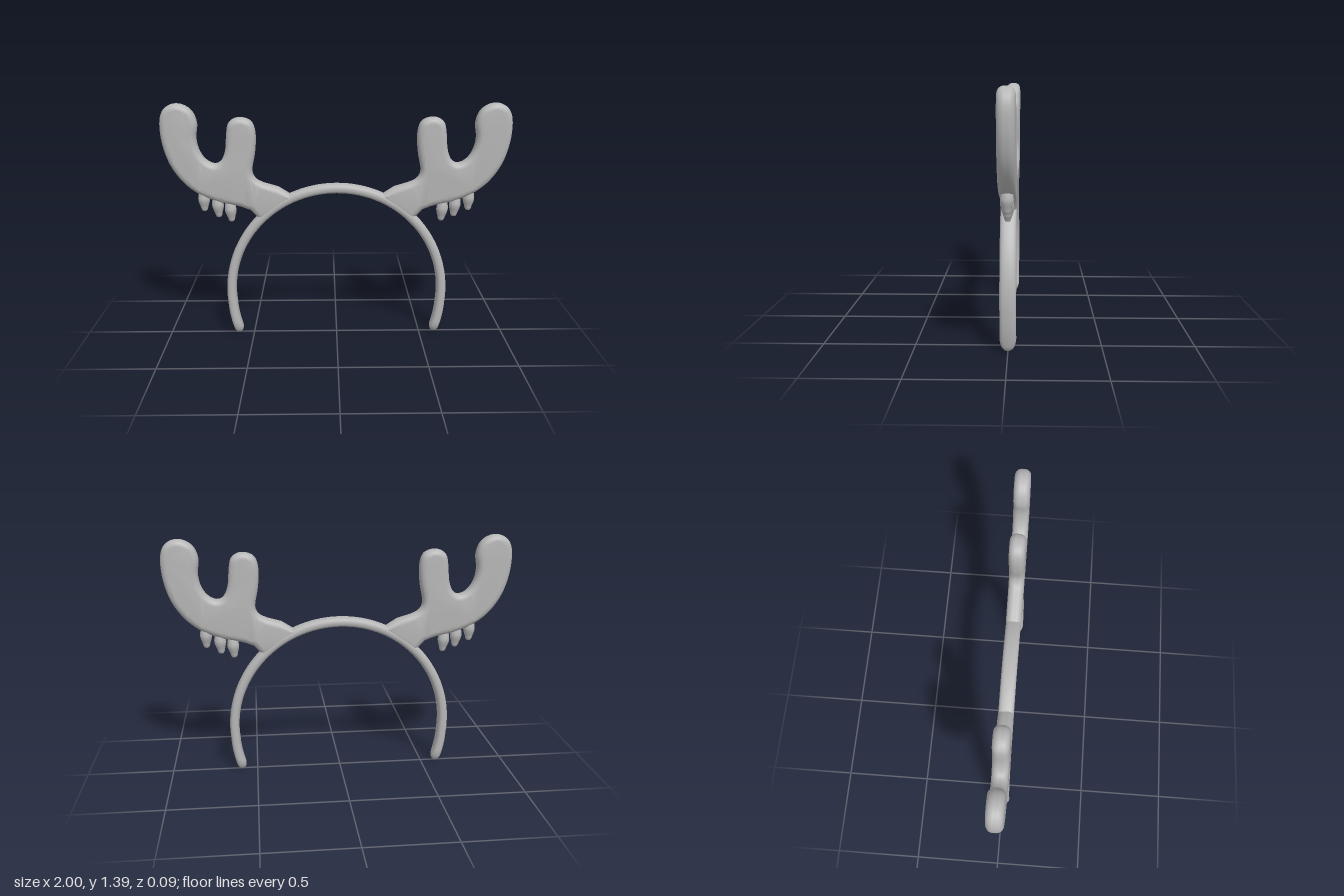
import * as THREE from 'three';
import { toCreasedNormals } from 'three/addons/utils/BufferGeometryUtils.js';

const grey = new THREE.MeshStandardMaterial({ color: 0xb6b6b6 });
grey.name = 'light grey';

function part(name, geometry) {
  const mesh = new THREE.Mesh(geometry, grey);
  mesh.name = name;
  return mesh;
}

// Arc-shaped band: a soft rectangular section swept round, closing at rounded tips
function bandGeometry() {
  const R = 0.627, CY = 0.265, A0 = -0.431, A1 = Math.PI + 0.431;
  const rings = 120, sides = 20, pos = [], idx = [];
  const soft = (v) => Math.sign(v) * Math.abs(v) ** 0.75;
  const round = (d, r) => Math.sqrt(Math.max(0, 1 - (1 - Math.min(d / r, 1)) ** 2));
  for (let i = 0; i <= rings; i++) {
    const a = A0 + (A1 - A0) * (0.5 - 0.5 * Math.cos(Math.PI * i / rings));
    const d = Math.min(a - A0, A1 - a) * R;
    const hr = 0.028 * round(d, 0.04), hz = 0.044 * round(d, 0.075);
    const flare = 0.012 * Math.max(0, 1 - d / 0.2);
    for (let j = 0; j < sides; j++) {
      const b = j / sides * Math.PI * 2;
      const r = R + flare + hr * soft(Math.cos(b));
      pos.push(r * Math.cos(a), CY + r * Math.sin(a), hz * soft(Math.sin(b)));
      if (i === rings) continue;
      const p = i * sides + j, q = i * sides + (j + 1) % sides;
      idx.push(p, p + sides, q, q, p + sides, q + sides);
    }
  }
  const g = new THREE.BufferGeometry();
  g.setAttribute('position', new THREE.Float32BufferAttribute(pos, 3));
  g.setIndex(idx);
  g.computeVertexNormals();
  return g;
}

// Two-tined antler plate with fully rounded edges
function antlerGeometry() {
  const outline = [
    [0.42, 0.925], [0.465, 0.95], [0.485, 1.0], [0.467, 1.1], [0.46, 1.2], [0.475, 1.27],
    [0.515, 1.3], [0.57, 1.303], [0.612, 1.275], [0.626, 1.22], [0.636, 1.12], [0.66, 1.06],
    [0.7, 1.04], [0.75, 1.065], [0.785, 1.12], [0.798, 1.19], [0.79, 1.27], [0.815, 1.34],
    [0.87, 1.378], [0.93, 1.38], [0.98, 1.345], [1.0, 1.27], [0.99, 1.15], [0.95, 1.03],
    [0.88, 0.93], [0.79, 0.86], [0.68, 0.815], [0.57, 0.79], [0.5, 0.765],
  ].map(([x, y]) => new THREE.Vector2(x, y));
  const s = new THREE.Shape();
  s.moveTo(0.25, 0.845);
  s.lineTo(0.335, 0.9);
  s.lineTo(outline[0].x, outline[0].y);
  s.splineThru(outline.slice(1));
  s.lineTo(0.44, 0.7);
  s.closePath();
  const depth = 0.018, bevel = 0.036;
  const g = new THREE.ExtrudeGeometry(s, {
    depth, curveSegments: 4, bevelEnabled: true, bevelSegments: 6,
    bevelSize: bevel, bevelOffset: -bevel, bevelThickness: bevel,
  });
  g.translate(0, 0, -depth / 2);
  return toCreasedNormals(g, 0.7);
}

// Small hanging drop, its origin at the lower tip
function dropGeometry() {
  const profile = [[0, 0], [0.011, 0.002], [0.018, 0.012], [0.023, 0.03], [0.03, 0.05],
    [0.034, 0.068], [0.033, 0.085], [0.028, 0.11], [0.02, 0.128], [0, 0.135]];
  const curve = new THREE.SplineCurve(profile.map(([x, y]) => new THREE.Vector2(x, y)));
  const pts = curve.getPoints(27);
  pts.forEach((p) => { p.x = Math.max(0, p.x); });
  return new THREE.LatheGeometry(pts, 16);
}

export function createModel() {
  const model = new THREE.Group();
  model.name = 'antlerHeadband';
  model.add(part('headband', bandGeometry()));

  const antlerGeo = antlerGeometry(), dropGeo = dropGeometry();
  for (const side of ['left', 'right']) {
    const antler = new THREE.Group();
    antler.name = side + 'Antler';
    antler.add(part('antlerPlate', antlerGeo));
    // Three drops below the lower edge: tip x, tip y, lean
    [[0.612, 0.694, -0.08], [0.685, 0.72, -0.08], [0.768, 0.757, -0.02]].forEach(([x, y, lean], i) => {
      const drop = part('drop' + (i + 1), dropGeo);
      drop.position.set(x, y, 0);
      drop.rotation.z = lean;
      antler.add(drop);
    });
    // The antler is the same front and back, so a half turn mirrors it
    if (side === 'right') antler.rotation.y = Math.PI;
    model.add(antler);
  }
  return model;
}
